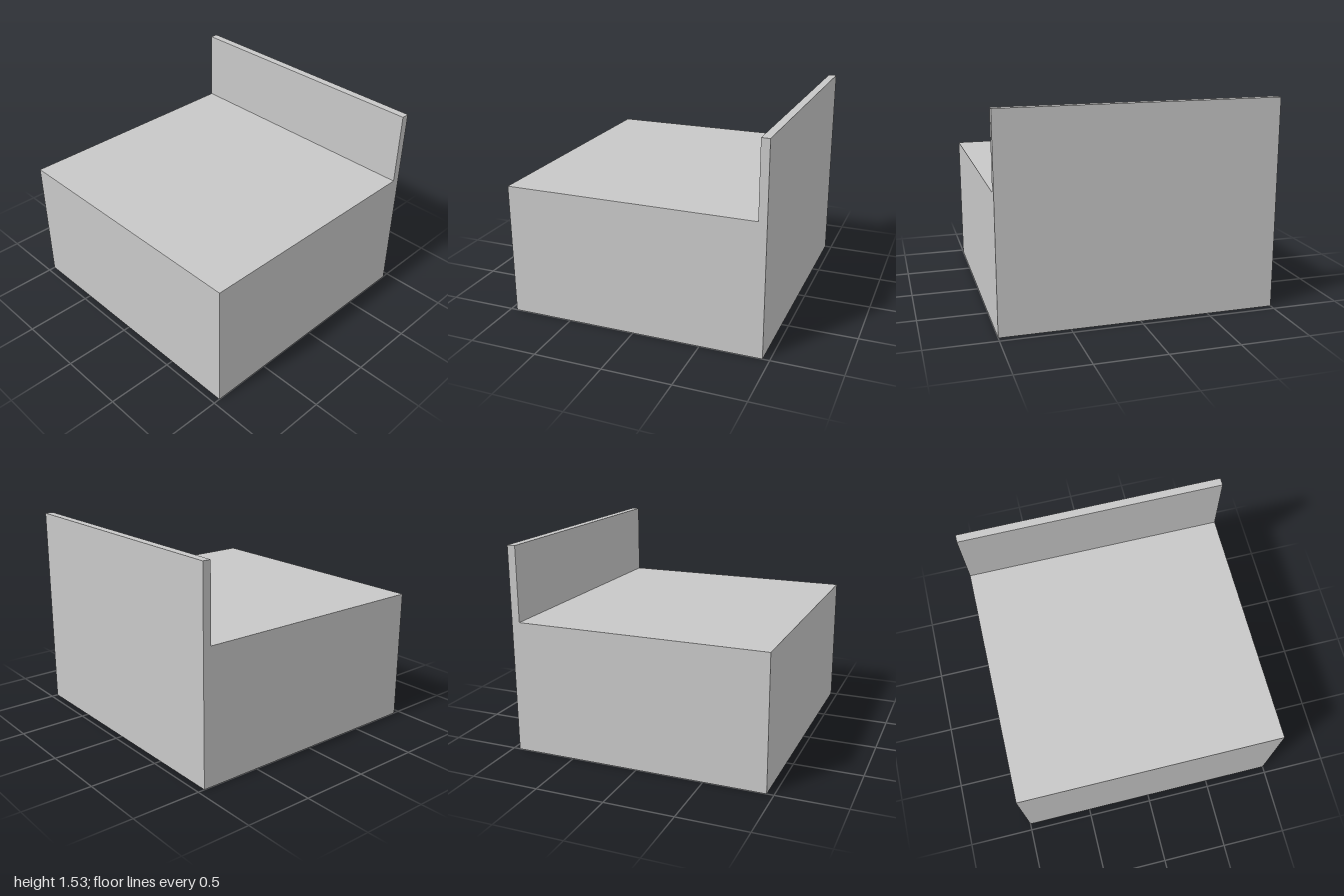
import * as THREE from 'three';

export function createModel() {
  const model = new THREE.Group();
  const lightGrey = new THREE.MeshStandardMaterial({ color: 0xc8c8c8 });

  // Side profile (z, y): a deep block with a thin upright panel along its back
  const width = 2, front = 0.95, back = -0.95;
  const panelFront = -0.89, seatHeight = 0.98, panelHeight = 1.53;
  const profile = new THREE.Shape([
    [back, 0], [front, 0], [front, seatHeight],
    [panelFront, seatHeight], [panelFront, panelHeight], [back, panelHeight],
  ].map(([z, y]) => new THREE.Vector2(z, y)));

  // Sweep the profile across the width, then turn it to face +z
  const geometry = new THREE.ExtrudeGeometry(profile, { depth: width, bevelEnabled: false });
  geometry.translate(0, 0, -width / 2).rotateY(-Math.PI / 2);

  const body = new THREE.Mesh(geometry, lightGrey);
  body.name = 'blockWithBackPanel';
  model.add(body);
  return model;
}
